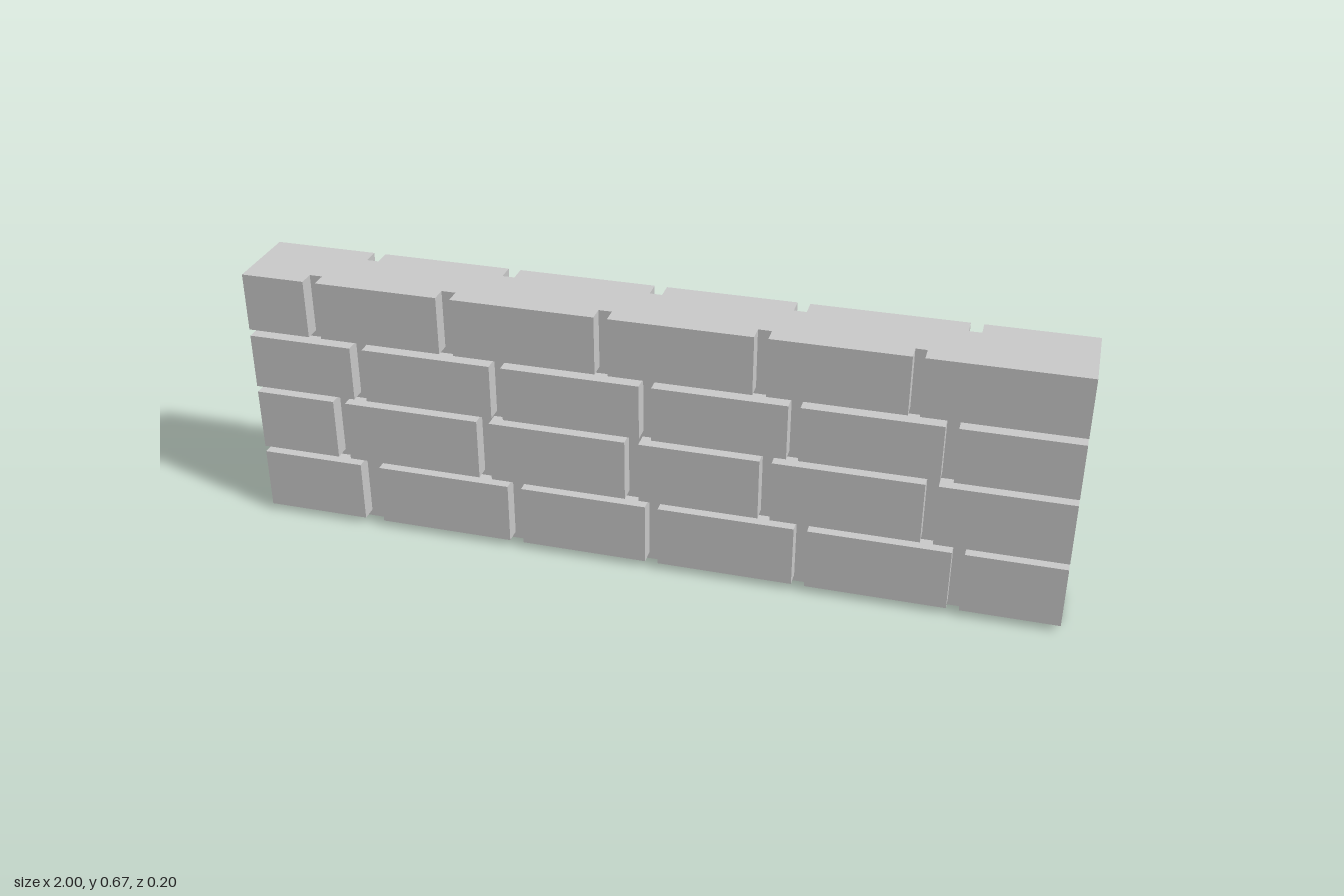
import * as THREE from 'three';

const HEIGHT = 0.667;
const CORE_FRONT = 0.06, CORE_BACK = -0.056, FACE = 0.1;

// Each course: bottom, top, and the [start, end] of its upright joints along x
const frontCourses = [
  { y: [0.017, 0.174], joints: [[-0.74, -0.69], [-0.35, -0.315], [0, 0.032], [0.364, 0.396], [0.735, 0.765]] },
  { y: [0.19, 0.347], joints: [[-0.797, -0.765], [-0.422, -0.39], [-0.05, -0.016], [0.276, 0.305], [0.66, 0.69]] },
  { y: [0.363, 0.503], joints: [[-0.738, -0.706], [-0.382, -0.353], [-0.014, 0.016], [0.338, 0.366], [0.692, 0.722]] },
  { y: [0.52, HEIGHT], joints: [[-0.842, -0.81], [-0.505, -0.47], [-0.12, -0.088], [0.254, 0.286], [0.607, 0.634]] },
];
const around = (...centres) => centres.map((c) => [c - 0.015, c + 0.015]);
const backCourses = [
  { y: [0.013, 0.185], joints: around(-0.685, -0.33, 0.008, 0.374, 0.742) },
  { y: [0.2, 0.353], joints: around(-0.84, -0.484, -0.096, 0.284, 0.645) },
  { y: [0.37, 0.503], joints: around(-0.658, -0.316, 0.067, 0.429, 0.8) },
  { y: [0.521, HEIGHT], joints: around(-0.73, -0.38, -0.015, 0.328, 0.726) },
];

export function createModel() {
  const wall = new THREE.Group();
  wall.name = 'brickWall';
  const material = new THREE.MeshStandardMaterial({ color: 0xcccccc, flatShading: true });

  const block = (name, parent, [x0, x1], [y0, y1], [z0, z1]) => {
    const mesh = new THREE.Mesh(new THREE.BoxGeometry(x1 - x0, y1 - y0, z1 - z0), material);
    mesh.position.set((x0 + x1) / 2, (y0 + y1) / 2, (z0 + z1) / 2);
    mesh.name = name;
    parent.add(mesh);
  };

  // Mortar core, visible at the bottom of the joints
  block('mortarCore', wall, [-1, 1], [0, HEIGHT], [CORE_BACK, CORE_FRONT]);

  // Bricks fill the spans between the joints of each course
  const addFace = (side, courses, z) => {
    courses.forEach(({ y, joints }, row) => {
      const course = new THREE.Group();
      course.name = `${side}Course${row + 1}`;
      const starts = [-1, ...joints.map((j) => j[1])];
      const ends = [...joints.map((j) => j[0]), 1];
      starts.forEach((x, i) => block(`${side}Brick`, course, [x, ends[i]], y, z));
      wall.add(course);
    });
  };
  addFace('front', frontCourses, [CORE_FRONT, FACE]);
  addFace('back', backCourses, [-FACE, CORE_BACK]);

  return wall;
}
